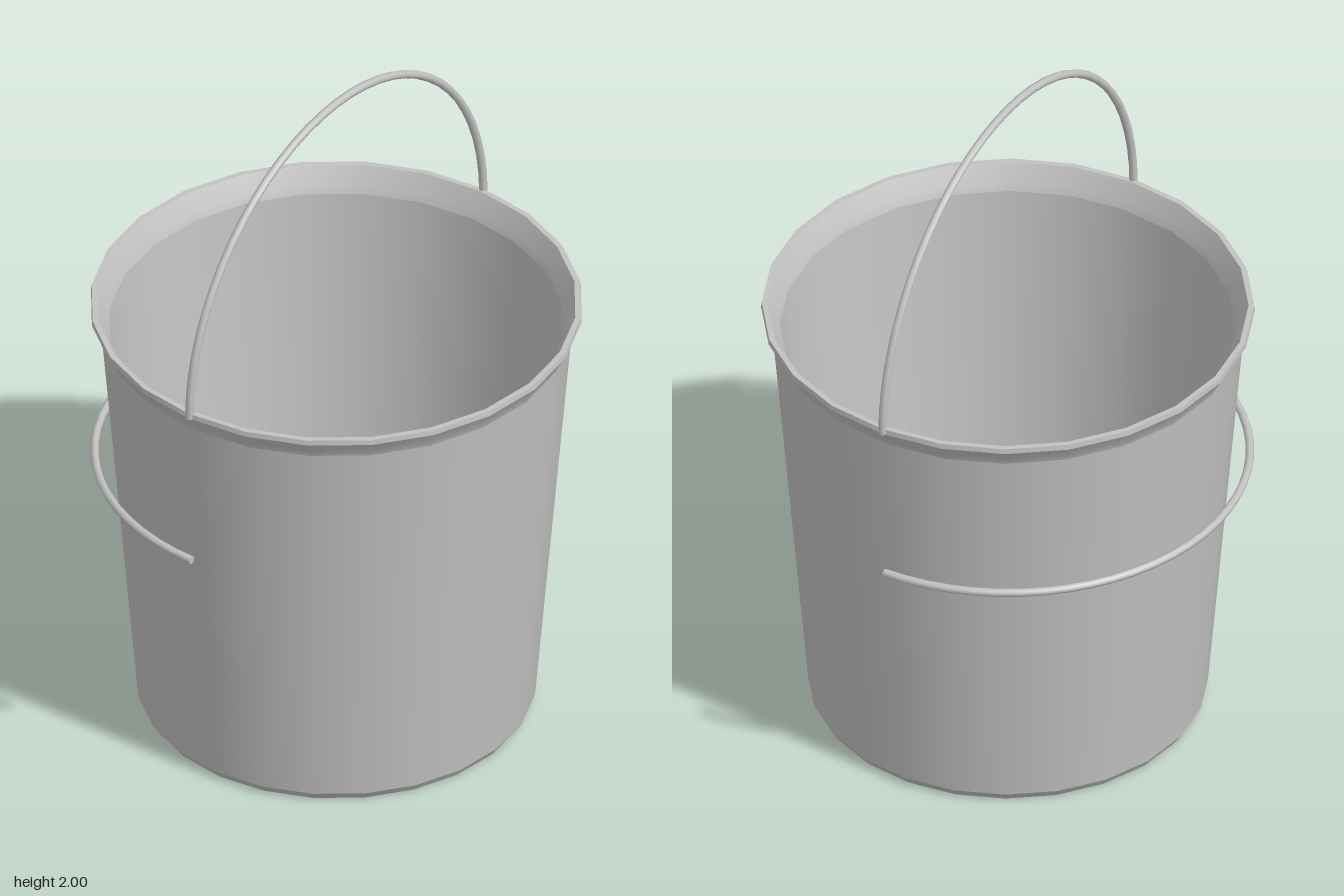
import * as THREE from 'three';
import { mergeGeometries } from 'three/addons/utils/BufferGeometryUtils.js';

const SIDES = 24;

// One lathe per span, so normals are smooth within a span and sharp between spans
function turned(spans) {
  return mergeGeometries(spans.map((span) =>
    new THREE.LatheGeometry(span.map(([r, y]) => new THREE.Vector2(r, y)), SIDES)));
}

// Half hoop of wire in the xy plane, arching up, with closed ends
function halfHoop(radius, wire) {
  const hoop = new THREE.TorusGeometry(radius, wire, 8, 32, Math.PI);
  const caps = [-1, 1].map((side) =>
    new THREE.CircleGeometry(wire, 8).rotateX(Math.PI / 2).translate(side * radius, 0, 0));
  return mergeGeometries([hoop, ...caps]);
}

export function createModel() {
  const group = new THREE.Group();
  const metal = new THREE.MeshStandardMaterial({ color: 0xc2c2c2 });
  metal.name = 'grey metal';

  function add(name, geometry) {
    const mesh = new THREE.Mesh(geometry, metal);
    mesh.name = name;
    group.add(mesh);
    return mesh;
  }

  // Outer shell: underside, bevelled foot, tapering wall and flared lip
  add('outerShell', turned([
    [[0, 0], [0.543, 0]],
    [[0.543, 0], [0.559, 0.025]],
    [[0.559, 0.025], [0.661, 1.245]],
    [[0.661, 1.245], [0.668, 1.265], [0.69, 1.3]],
  ]));

  // Rolled rim
  add('rim', turned([
    [[0.69, 1.3], [0.688, 1.315]],
    [[0.688, 1.315], [0.672, 1.315]],
  ]));

  // Inside: lip, wall and floor
  add('innerShell', turned([
    [[0.672, 1.315], [0.646, 1.265], [0.637, 1.24]],
    [[0.637, 1.24], [0.525, 0.025]],
  ]));
  add('floor', turned([[[0.525, 0.025], [0, 0.025]]]));

  // Upright carrying handle
  add('handle', halfHoop(0.687, 0.012)).position.y = 1.301;

  // Second hoop lying flat around the back
  const backHoop = add('backHoop', halfHoop(0.676, 0.012));
  backHoop.rotation.x = -Math.PI / 2;
  backHoop.position.y = 0.81;

  return group;
}
